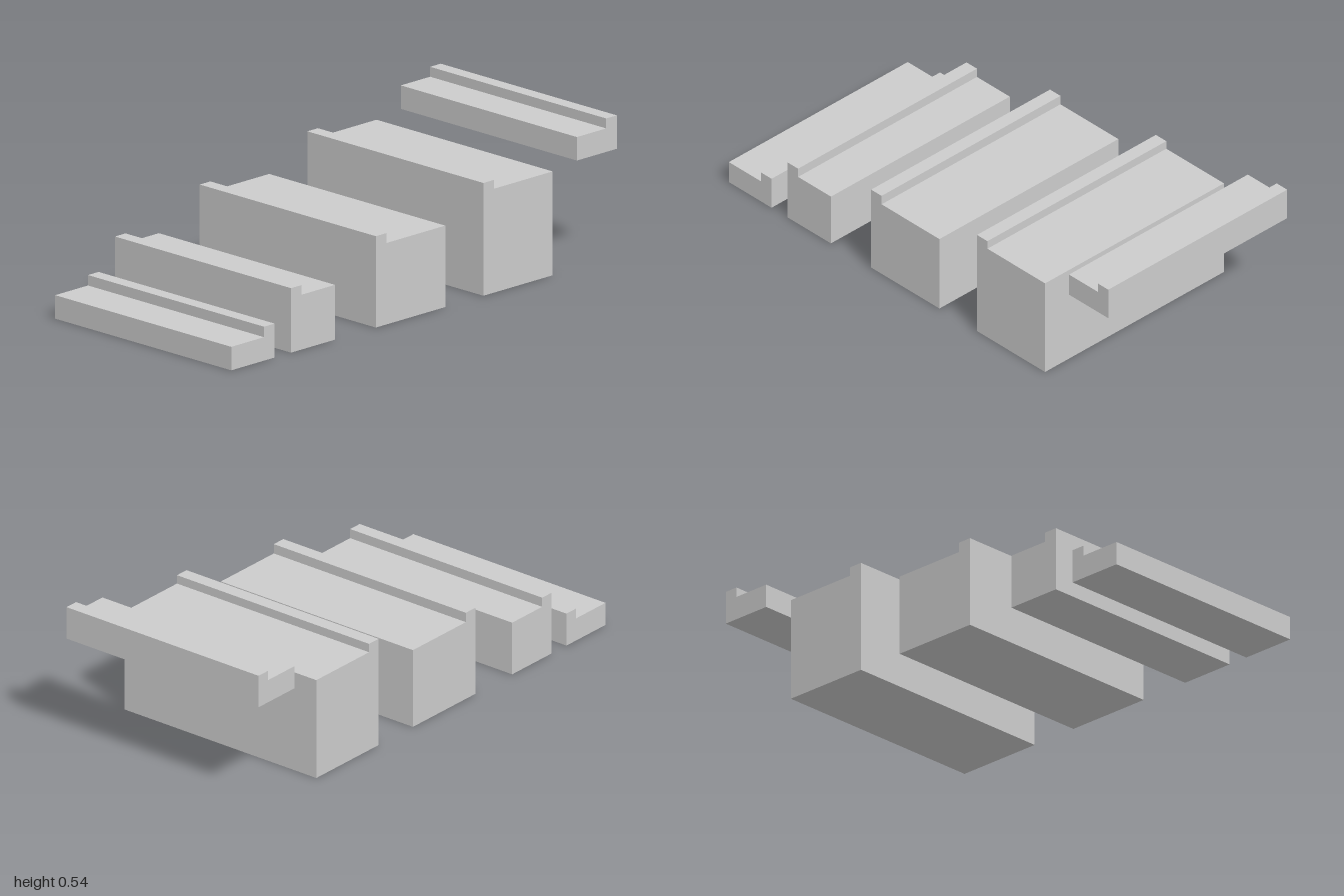
import * as THREE from 'three';

const WIDTH = 0.91;
const LIP = 0.055;

// Each block: z range, bottom, tread height, lip height, and which edge carries the lip
const BLOCKS = [
  { name: 'frontStep', back: 0.775, front: 1.0, bottom: 0, top: 0.09, lipTop: 0.13, lipAtFront: false },
  { name: 'lowStep', back: 0.462, front: 0.69, bottom: 0, top: 0.21, lipTop: 0.247, lipAtFront: true },
  { name: 'middleStep', back: -0.11, front: 0.25, bottom: 0, top: 0.312, lipTop: 0.35, lipAtFront: true },
  { name: 'highStep', back: -0.667, front: -0.308, bottom: 0, top: 0.398, lipTop: 0.432, lipAtFront: true },
  { name: 'rearLedge', back: -1.0, front: -0.793, bottom: 0.412, top: 0.502, lipTop: 0.54, lipAtFront: false },
];

// L-shaped side profile extruded across the width; profile x is -z
function makeBlock({ back, front, bottom, top, lipTop, lipAtFront }) {
  const split = lipAtFront ? front - LIP : back + LIP;
  const frontTop = lipAtFront ? lipTop : top;
  const backTop = lipAtFront ? top : lipTop;
  const profile = new THREE.Shape([
    [front, bottom], [back, bottom], [back, backTop],
    [split, backTop], [split, frontTop], [front, frontTop],
  ].map(([z, y]) => new THREE.Vector2(-z, y)));
  const geometry = new THREE.ExtrudeGeometry(profile, { depth: WIDTH, bevelEnabled: false });
  geometry.translate(0, 0, -WIDTH / 2);
  geometry.rotateY(Math.PI / 2);
  return geometry;
}

export function createModel() {
  const model = new THREE.Group();
  model.name = 'steppedBlocks';
  const material = new THREE.MeshStandardMaterial({ color: 0xcccccc });
  for (const block of BLOCKS) {
    const mesh = new THREE.Mesh(makeBlock(block), material);
    mesh.name = block.name;
    model.add(mesh);
  }
  return model;
}
